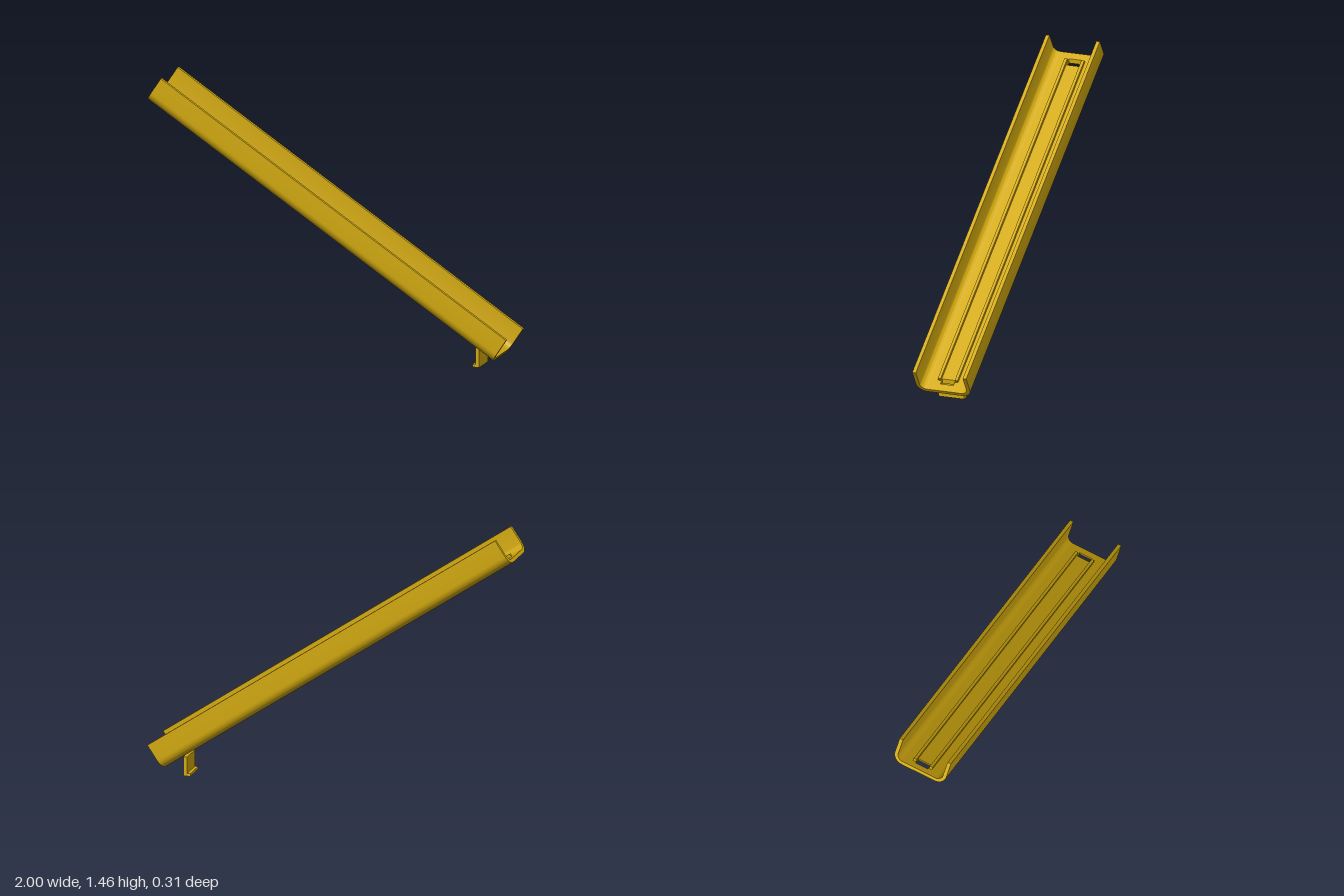
import * as THREE from 'three';
import { toCreasedNormals } from 'three/addons/utils/BufferGeometryUtils.js';

const LENGTH = 2.303, DEPTH = 0.151, HALF = 0.153, WALL = 0.02;
const OUTER_R = 0.056, INNER_R = 0.036, SLOT = 0.037;
const SLOPE = Math.atan2(1.28, 1.915);

export function createModel() {
  const model = new THREE.Group();
  model.name = 'slopedTrough';
  const gold = new THREE.MeshStandardMaterial({ color: 0xd2a90f });
  gold.name = 'gold';

  const add = (parent, geometry, name) => {
    const mesh = new THREE.Mesh(geometry, gold);
    mesh.name = name;
    parent.add(mesh);
    return mesh;
  };
  const box = (parent, name, x0, x1, y0, y1, z0, z1) =>
    add(parent, new THREE.BoxGeometry(x1 - x0, y1 - y0, z1 - z0), name)
      .position.set((x0 + x1) / 2, (y0 + y1) / 2, (z0 + z1) / 2);

  // Tilted frame: x runs down the slope, y is square to the floor
  const trough = new THREE.Group();
  trough.name = 'trough';
  trough.position.set(-1, 1.33, 0);
  trough.rotation.z = -SLOPE;
  model.add(trough);

  // Side channels: wall, rounded corner and outer strip of floor
  for (const s of [-1, 1]) {
    const side = s > 0 ? 'left' : 'right';
    const p = new THREE.Shape();
    p.moveTo(s * SLOT, 0);
    p.lineTo(s * (HALF - OUTER_R), 0);
    p.absarc(s * (HALF - OUTER_R), OUTER_R, OUTER_R, -Math.PI / 2, s > 0 ? 0 : -Math.PI, s < 0);
    p.lineTo(s * HALF, DEPTH);
    p.lineTo(s * (HALF - WALL), DEPTH);
    p.lineTo(s * (HALF - WALL), WALL + INNER_R);
    p.absarc(s * (HALF - WALL - INNER_R), WALL + INNER_R, INNER_R, s > 0 ? 0 : -Math.PI, -Math.PI / 2, s > 0);
    p.lineTo(s * SLOT, WALL);
    p.closePath();
    const channel = new THREE.ExtrudeGeometry(p, { depth: LENGTH, bevelEnabled: false, curveSegments: 10 });
    channel.rotateY(Math.PI / 2);
    add(trough, toCreasedNormals(channel, 0.6), side + 'Channel');

    // Raised guide rail beside the slots
    const z = [s * 0.04, s * 0.056].sort((a, b) => a - b);
    box(trough, side + 'Rail', 0.05, 2.235, WALL - 0.004, WALL + 0.015, z[0], z[1]);
  }

  // Middle floor in three pieces, leaving two upright-cut slots between them
  const along = (x, v) => (x + 1 - v * Math.sin(SLOPE)) / Math.cos(SLOPE);
  const cut = (x) => [along(x, 0), along(x, WALL)];
  const pieces = [
    ['upperFloor', [0, 0], cut(-0.955)],
    ['middleFloor', cut(-0.92), cut(0.86)],
    ['lowerFloor', cut(0.888), [LENGTH, LENGTH]],
  ];
  for (const [name, a, b] of pieces) {
    const p = new THREE.Shape([
      new THREE.Vector2(a[0], 0), new THREE.Vector2(b[0], 0),
      new THREE.Vector2(b[1], WALL), new THREE.Vector2(a[1], WALL),
    ]);
    const floor = new THREE.ExtrudeGeometry(p, { depth: SLOT * 2, bevelEnabled: false });
    floor.translate(0, 0, -SLOT);
    add(trough, floor, name);
  }

  // Upright support with a small foot
  const support = new THREE.Group();
  support.name = 'support';
  model.add(support);
  box(support, 'supportPlate', 0.804, 0.824, 0, 0.105, -0.073, 0.073);
  box(support, 'supportFoot', 0.786, 0.804, 0, 0.015, -0.073, 0.073);

  return model;
}
